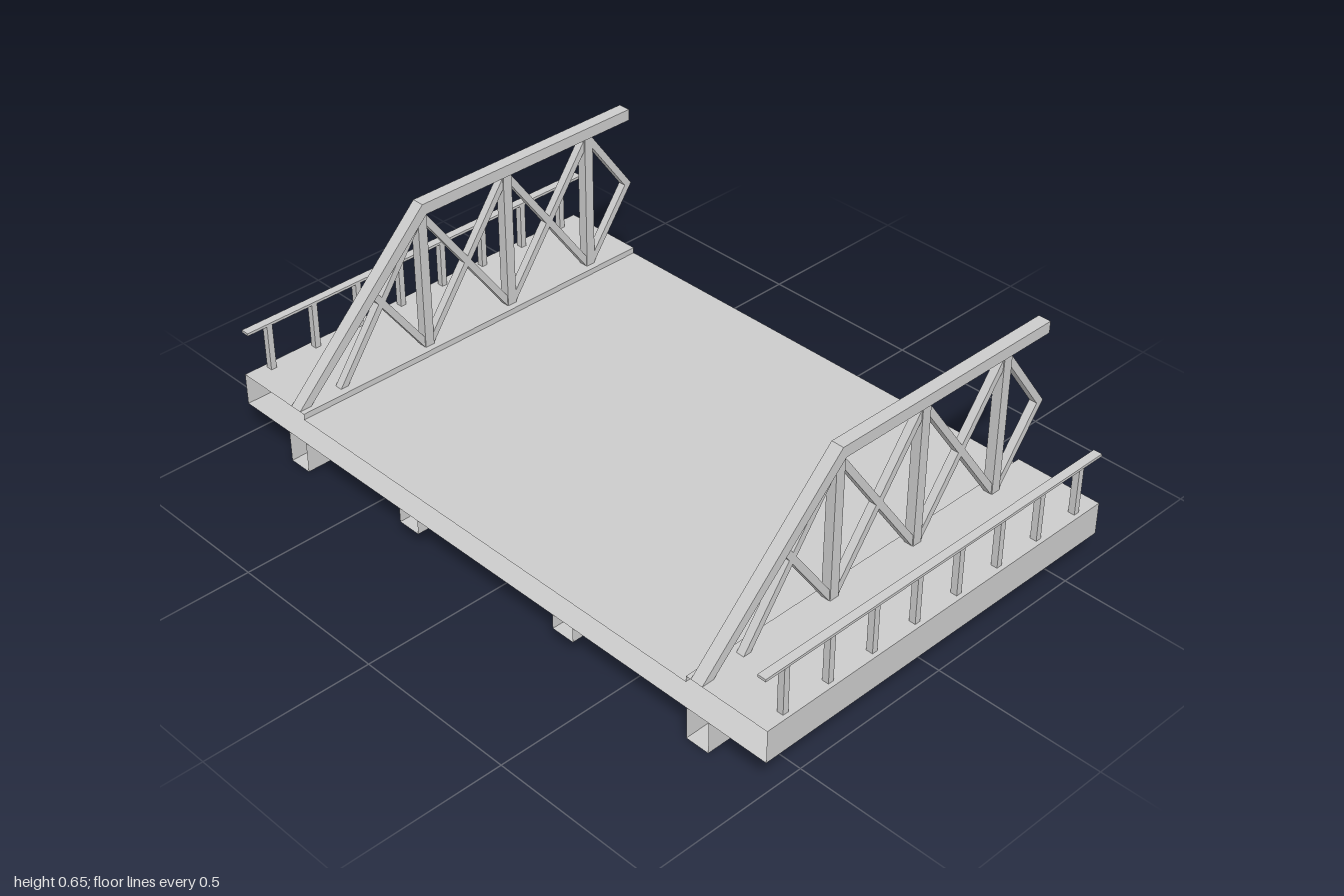
import * as THREE from 'three';

const MAT = new THREE.MeshStandardMaterial({ color: 0xcccccc, flatShading: true, side: THREE.DoubleSide });
const X0 = -0.62, X1 = 0.61;      // ends of the span
const WALK = 0.195, ROAD = 0.177; // walkway and roadway heights
const DECK_BOTTOM = 0.097;

function add(parent, geometry, name) {
  const mesh = new THREE.Mesh(geometry, MAT);
  mesh.name = name;
  parent.add(mesh);
  return mesh;
}

// Box given by its limits on each axis
function box(parent, name, x0, x1, y0, y1, z0, z1) {
  const mesh = add(parent, new THREE.BoxGeometry(x1 - x0, y1 - y0, z1 - z0), name);
  mesh.position.set((x0 + x1) / 2, (y0 + y1) / 2, (z0 + z1) / 2);
}

// Flat plate drawn in x, y and given a thickness centred on z
function plate(parent, name, points, depth, z) {
  const shape = new THREE.Shape(points.map(([x, y]) => new THREE.Vector2(x, y)));
  const geometry = new THREE.ExtrudeGeometry(shape, { depth, bevelEnabled: false });
  geometry.translate(0, 0, z - depth / 2);
  add(parent, geometry, name);
}

// Slanted bar with level-cut ends
function bar(parent, name, xa, ya, xb, yb, z) {
  const h = 0.0125;
  plate(parent, name, [[xa - h, ya], [xa + h, ya], [xb + h, yb], [xb - h, yb]], 0.024, z);
}

// Sheet swept along x from a [z, y] cross-section, with open ends
function sweep(parent, name, section, closed) {
  const positions = [];
  const n = closed ? section.length : section.length - 1;
  for (let i = 0; i < n; i++) {
    const [za, ya] = section[i];
    const [zb, yb] = section[(i + 1) % section.length];
    positions.push(X0, ya, za, X1, ya, za, X1, yb, zb, X0, ya, za, X1, yb, zb, X0, yb, zb);
  }
  const geometry = new THREE.BufferGeometry();
  geometry.setAttribute('position', new THREE.Float32BufferAttribute(positions, 3));
  geometry.computeVertexNormals();
  add(parent, geometry, name);
}

function buildTruss(z) {
  const truss = new THREE.Group();
  truss.name = 'truss';
  // Inclined end post running into the level top chord
  plate(truss, 'topChord', [[-0.62, WALK], [-0.582, WALK], [-0.147, 0.62], [X1, 0.62],
    [X1, 0.655], [-0.16, 0.655]], 0.038, z);
  const top = 0.62, foot = 0.19, mid = 0.405;
  const posts = [-0.16, 0.147, 0.455];
  for (const x of posts) box(truss, 'verticalPost', x - 0.015, x + 0.015, foot, top, z - 0.015, z + 0.015);
  // Crossed diagonals between the posts
  for (let i = 0; i < 2; i++) {
    bar(truss, 'diagonal', posts[i + 1], foot, posts[i], top, z);
    bar(truss, 'diagonal', posts[i], foot, posts[i + 1], top, z);
  }
  // Half panel at the open end
  bar(truss, 'diagonal', posts[2], foot, X1, mid, z);
  bar(truss, 'diagonal', X1, mid, posts[2], top, z);
  // Panel under the inclined post
  bar(truss, 'diagonal', -0.465, foot, posts[0], top, z);
  bar(truss, 'diagonal', posts[0], foot, -0.337, 0.438, z);
  return truss;
}

function buildRailing(z) {
  const railing = new THREE.Group();
  railing.name = 'railing';
  box(railing, 'handrail', X0, X1, 0.339, 0.347, z - 0.013, z + 0.013);
  for (let i = 0; i < 8; i++) {
    const x = -0.545 + i * 0.154;
    box(railing, 'railPost', x - 0.009, x + 0.009, WALK, 0.339, z - 0.01, z + 0.01);
  }
  return railing;
}

export function createModel() {
  const bridge = new THREE.Group();
  bridge.name = 'bridgeSection';

  // Hollow deck: raised walkways either side of the roadway
  sweep(bridge, 'deck', [[-1, DECK_BOTTOM], [-1, WALK], [-0.735, WALK], [-0.735, ROAD],
    [0.735, ROAD], [0.735, WALK], [1, WALK], [1, DECK_BOTTOM]], true);

  for (const s of [1, -1]) {
    // Hollow girders below the deck, deep under the trusses and shallow inside
    for (const [z, half, bottom] of [[0.775, 0.037, 0], [0.3, 0.037, 0.052]]) {
      sweep(bridge, 'girder', [[s * z - half, DECK_BOTTOM], [s * z - half, bottom],
        [s * z + half, bottom], [s * z + half, DECK_BOTTOM]], false);
    }
    bridge.add(buildTruss(s * 0.77));
    bridge.add(buildRailing(s * 0.977));
  }
  return bridge;
}
